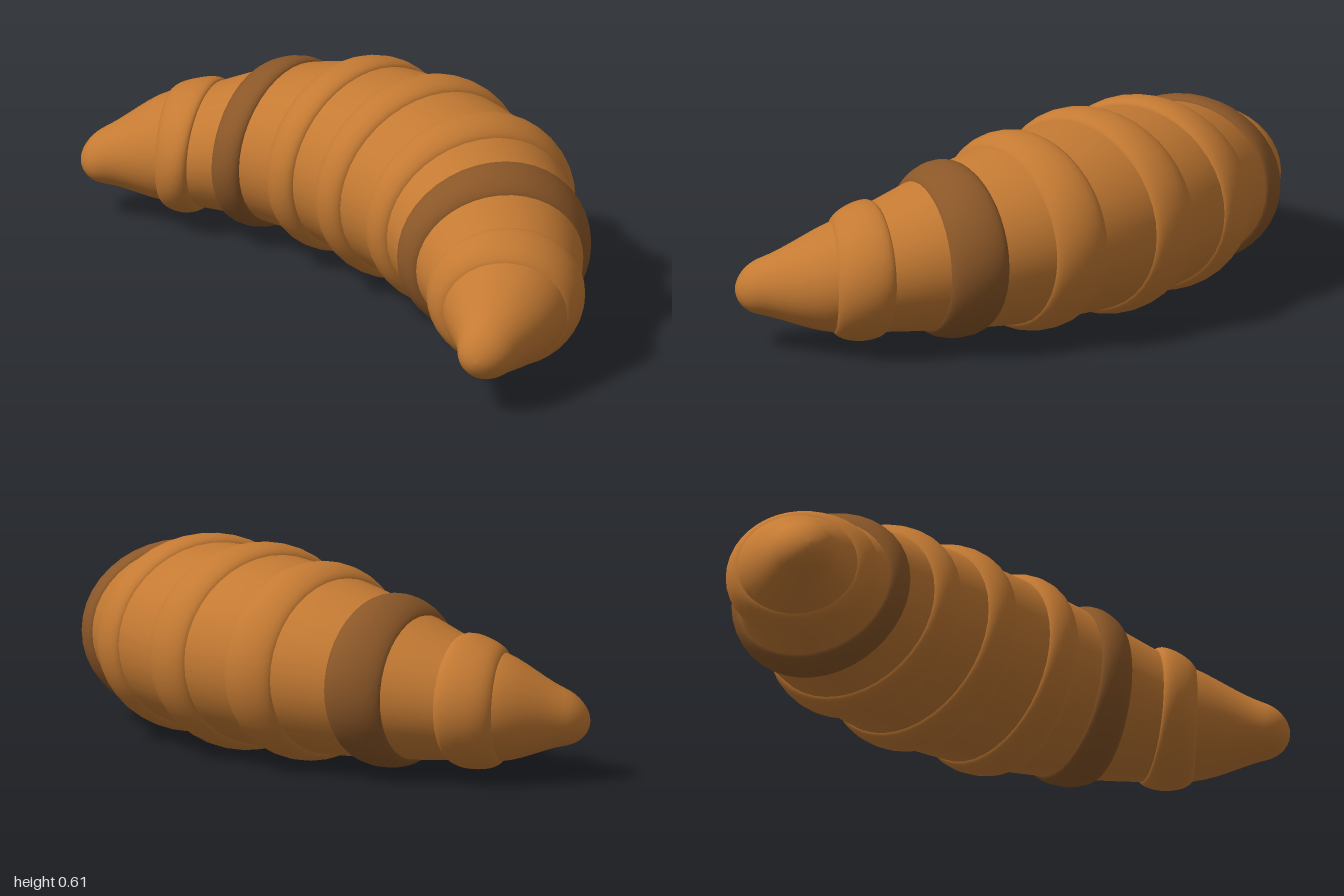
import * as THREE from 'three';

// Cross-sections along the crescent, from the right tip (-x) to the left tip (+x):
// centre x, y, z, sideways radius, upright radius, turn in degrees
const SECTIONS = [
  [-0.965, 0.172, 0.43, 0.075, 0.070, 54],
  [-0.925, 0.185, 0.365, 0.090, 0.085, 50],
  [-0.83, 0.213, 0.232, 0.172, 0.155, 42],
  [-0.765, 0.223, 0.18, 0.198, 0.168, 37],
  [-0.555, 0.27, 0.035, 0.257, 0.226, 20.5],
  [-0.288, 0.30, -0.058, 0.307, 0.266, 9.5],
  [-0.015, 0.308, -0.088, 0.328, 0.281, 0.8],
  [0.28, 0.302, -0.065, 0.311, 0.268, -8.5],
  [0.515, 0.275, 0.022, 0.266, 0.231, -21],
  [0.745, 0.23, 0.155, 0.202, 0.174, -35],
  [0.81, 0.215, 0.212, 0.176, 0.156, -41],
  [0.925, 0.185, 0.36, 0.090, 0.085, -50],
  [0.965, 0.172, 0.43, 0.075, 0.070, -54],
];
const AROUND = 40;
const CAP = 0.075;

// Distance along the spine at each section
const at = [0];
for (let i = 1; i < SECTIONS.length; i++) {
  const [a, b] = [SECTIONS[i - 1], SECTIONS[i]];
  at.push(at[i - 1] + Math.hypot(b[0] - a[0], b[1] - a[1], b[2] - a[2]));
}
const LENGTH = at[at.length - 1];
const spine = new THREE.CubicInterpolant(at, SECTIONS.flat(), 6, new Float32Array(6));

// Sweeps elliptical loops; each stop is { s: distance, scale, grow }
function sweep(stops) {
  const positions = [];
  const index = [];
  stops.forEach(({ s, scale = 1, grow = 0 }, i) => {
    const [x, y, z, wide, tall, degrees] = spine.evaluate(s);
    const turn = THREE.MathUtils.degToRad(degrees);
    for (let j = 0; j < AROUND; j++) {
      const angle = (j / AROUND) * Math.PI * 2;
      const side = Math.cos(angle) * (wide * scale + grow);
      const up = Math.sin(angle) * (tall * scale + grow);
      positions.push(x - Math.sin(turn) * side, y + up, z - Math.cos(turn) * side);
      if (i === stops.length - 1) continue;
      const a = i * AROUND + j;
      const b = i * AROUND + ((j + 1) % AROUND);
      index.push(a, b, a + AROUND, b, b + AROUND, a + AROUND);
    }
  });
  const geometry = new THREE.BufferGeometry();
  geometry.setAttribute('position', new THREE.Float32BufferAttribute(positions, 3));
  geometry.setIndex(index);
  geometry.computeVertexNormals();
  return geometry;
}

// Tapered dough body with rounded tips
function bodyGeometry() {
  const cap = [];
  for (let i = 0; i <= 8; i++) {
    const a = (i / 8) * Math.PI / 2;
    cap.push({ s: CAP * (1 - Math.cos(a)), scale: Math.max(Math.sin(a), 0.001) });
  }
  const middle = [];
  for (let i = 1; i < 72; i++) middle.push({ s: CAP + (i / 72) * (LENGTH - 2 * CAP) });
  const farCap = cap.map(({ s, scale }) => ({ s: LENGTH - s, scale })).reverse();
  return sweep([...cap, ...middle, ...farCap]);
}

// Rounded fold standing proud of the body
function foldGeometry(centre, halfWidth, height) {
  const stops = [];
  for (let i = 0; i <= 14; i++) {
    const a = Math.PI * (i / 14);
    stops.push({ s: centre - Math.cos(a) * halfWidth, grow: Math.sin(a) * (height + 0.006) - 0.006 });
  }
  return sweep(stops);
}

export function createModel() {
  const group = new THREE.Group();
  const crust = new THREE.MeshStandardMaterial({ color: 0xc47a33 });
  crust.name = 'goldenCrust';
  const darkCrust = new THREE.MeshStandardMaterial({ color: 0x8b5728 });
  darkCrust.name = 'darkCrust';

  const body = new THREE.Mesh(bodyGeometry(), crust);
  body.name = 'body';
  group.add(body);

  // Seven folds, the second from each end baked darker
  for (let i = 0; i < 7; i++) {
    const dark = i === 1 || i === 5;
    const fold = new THREE.Mesh(foldGeometry(at[i + 3], 0.07, 0.026), dark ? darkCrust : crust);
    fold.name = `fold${i + 1}`;
    group.add(fold);
  }
  return group;
}
